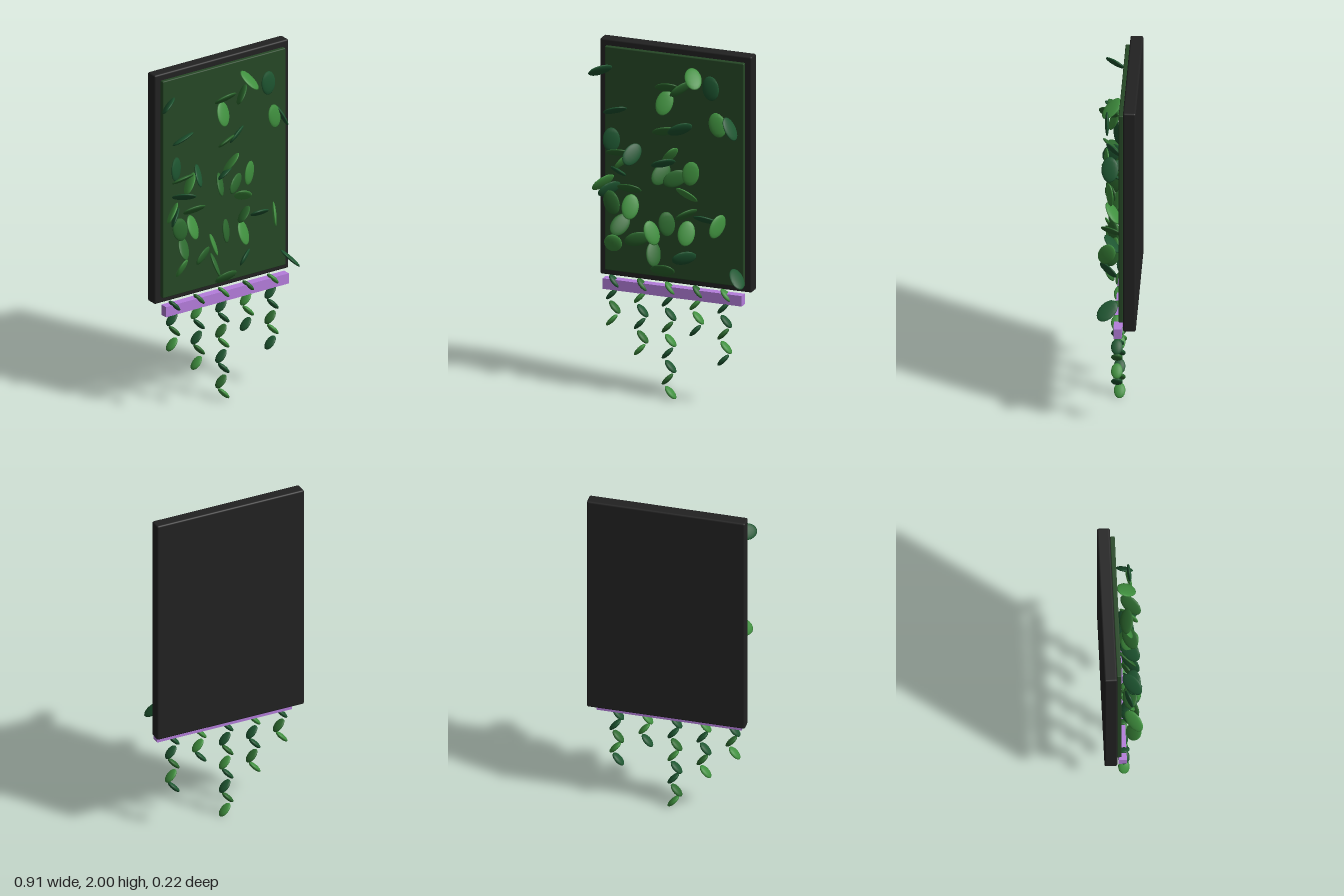
import * as THREE from 'three';
import { RoundedBoxGeometry } from 'three/addons/geometries/RoundedBoxGeometry.js';

const paint = (name, color) => {
  const m = new THREE.MeshStandardMaterial({ color });
  m.name = name;
  return m;
};

// Foliage leaves: x, y, angle in the wall plane, lean of the length, lean of the width (degrees)
const lightLeaves = [
  [-0.26, 1.35, 45, 30, 72], [-0.38, 1.21, 35, 30, 56], [-0.23, 1.08, 92, 25, 25],
  [-0.32, 0.87, 95, -34, 22], [-0.10, 0.95, 112, 0, 56], [0.10, 0.97, 90, 25, 25],
  [0.29, 1.04, 70, 34, 50], [0.10, 1.19, -42, 25, 42], [0.13, 1.32, 85, 0, 25],
  [0.01, 1.41, 60, -25, 65], [-0.03, 1.70, 80, 25, 12], [0.29, 1.62, 105, 0, 15],
  [0.14, 1.86, 120, 40, 47],
];
const midLeaves = [
  [-0.23, 1.19, 0, 0, 47], [-0.33, 1.10, 105, 0, 0], [-0.29, 0.97, 60, 41, 10],
  [-0.18, 0.91, 12, 25, 25], [-0.09, 0.83, 100, 25, 56], [-0.015, 1.01, 98, 0, 38],
  [-0.03, 0.75, 5, 0, 35], [-0.05, 1.29, 60, 41, 25], [0.04, 1.28, 25, 25, 12],
  [-0.02, 1.545, 2, 25, 47], [-0.015, 1.79, 8, 0, 47], [0.075, 1.80, 30, 41, 56],
  [-0.30, 1.385, 8, 0, 56], [0.10, 1.08, 15, 50, 56],
];
const darkLeaves = [
  [-0.40, 1.845, 10, 41, 47], [-0.31, 1.63, 20, 0, 62], [-0.34, 1.45, 92, 0, 25],
  [-0.21, 1.39, 60, 45, 25], [-0.295, 1.28, 20, -50, 38], [-0.35, 1.17, 20, 45, 38],
  [0.095, 0.835, 0, 41, 25], [0.21, 1.06, -20, 25, 50], [0.40, 0.75, 128, 41, 75],
  [-0.03, 1.36, 0, 41, 47], [0.06, 1.56, 18, 25, 42], [0.25, 1.825, 95, 0, 5],
  [0.355, 1.60, 118, 0, 78],
];

export function createModel() {
  const model = new THREE.Group();
  model.name = 'hangingPlantWall';

  const black = paint('frame black', 0x222222);
  const moss = paint('moss green', 0x264826);
  const purple = paint('light bar purple', 0xb57edc);
  const light = paint('light leaf green', 0x3f8f3e);
  const mid = paint('mid leaf green', 0x2d6a2f);
  const dark = paint('dark leaf green', 0x1e5631);

  const slab = (name, material, w, h, d, x, y, z, r) => {
    const geo = r ? new RoundedBoxGeometry(w, h, d, 3, r) : new THREE.BoxGeometry(w, h, d);
    const mesh = new THREE.Mesh(geo, material);
    mesh.name = name;
    mesh.position.set(x, y, z);
    model.add(mesh);
  };

  // Backing frame, planted panel and the bar under it
  slab('backFrame', black, 0.886, 1.35, 0.07, 0.009, 1.325, -0.079, 0.01);
  slab('mossPanel', moss, 0.812, 1.28, 0.026, 0.009, 1.325, -0.032, 0.006);
  slab('lightBar', purple, 0.812, 0.06, 0.045, 0.009, 0.615, -0.013, 0);

  // Leaves growing out of the panel
  const leafGeo = new THREE.SphereGeometry(1, 14, 10);
  const foliage = new THREE.Group();
  foliage.name = 'foliage';
  model.add(foliage);
  const rad = THREE.MathUtils.degToRad;
  const plant = (rows, material) => rows.forEach(([x, y, angle, leanLength, leanWidth], i) => {
    const leaf = new THREE.Mesh(leafGeo, material);
    leaf.name = 'leaf';
    leaf.scale.set(0.07, 0.047, 0.011);
    leaf.rotation.set(rad(leanWidth), rad(leanLength), rad(angle), 'ZYX');
    leaf.position.set(x, y, 0.038 + 0.014 * Math.sin(i * 2.4));
    foliage.add(leaf);
  });
  plant(lightLeaves, light);
  plant(midLeaves, mid);
  plant(darkLeaves, dark);

  // Trailing strands of leaves tilted alternately
  const shades = [light, dark, dark, mid, light, dark, dark, mid, light];
  [4, 6, 9, 4, 6].forEach((count, s) => {
    const strand = new THREE.Group();
    strand.name = 'trailingStrand';
    strand.position.set(-0.34 + s * 0.1625, 0.633, -0.005);
    for (let i = 0; i < count; i++) {
      const side = i % 2 ? -1 : 1;
      const leaf = new THREE.Mesh(leafGeo, shades[(i + (s === 2 ? 0 : s * 2 + 1)) % shades.length]);
      leaf.name = 'strandLeaf';
      leaf.scale.set(0.014, 0.044, 0.032);
      leaf.rotation.z = side * 0.75;
      leaf.position.set(side * 0.009, -i * 0.0747, 0);
      strand.add(leaf);
    }
    model.add(strand);
  });

  return model;
}
